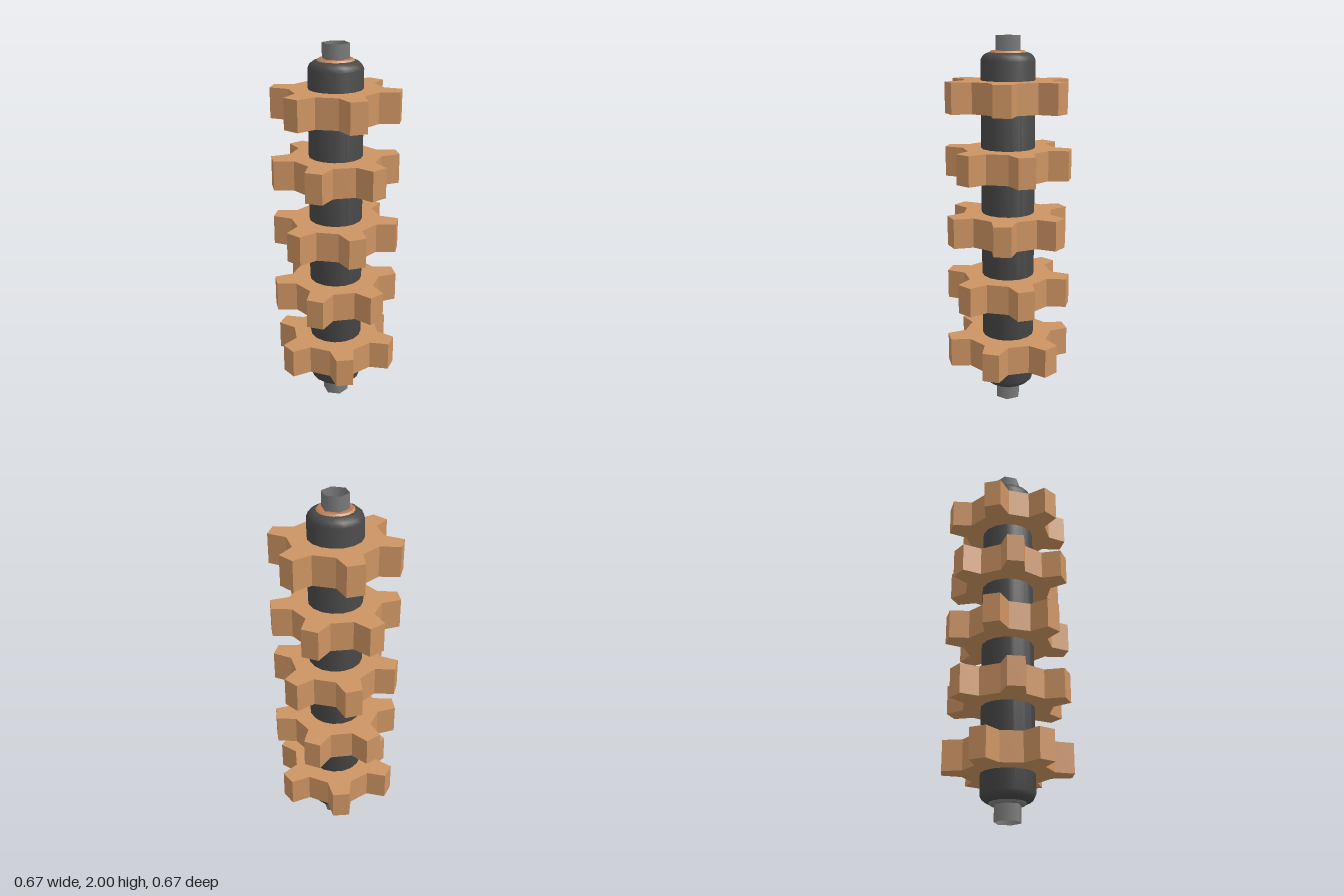
import * as THREE from 'three';
import { toCreasedNormals } from 'three/addons/utils/BufferGeometryUtils.js';

const material = (name, color, side = THREE.FrontSide) => {
  const m = new THREE.MeshStandardMaterial({ color, side });
  m.name = name;
  return m;
};

// Six-toothed wheel, centred on the origin, with a tooth at the given angle from +x towards +z
function wheelGeometry(degrees, thickness) {
  const points = [];
  const tooth = [[0.228, -0.065], [0.33, -0.045], [0.33, 0.045], [0.228, 0.065]];
  for (let i = 0; i < 6; i++) {
    const angle = THREE.MathUtils.degToRad(degrees + i * 60);
    for (const [r, t] of tooth) {
      points.push(new THREE.Vector2(r, t).rotateAround(new THREE.Vector2(), angle));
    }
  }
  const geometry = new THREE.ExtrudeGeometry(new THREE.Shape(points), { depth: thickness, bevelEnabled: false });
  geometry.translate(0, 0, -thickness / 2);
  geometry.rotateX(Math.PI / 2);
  return geometry;
}

export function createModel() {
  const group = new THREE.Group();
  const wood = material('tan wood', 0xcd9463);
  const dark = material('dark rubber', 0x484848);
  const steel = material('grey steel', 0x7c7c7c, THREE.DoubleSide);
  const copper = material('copper', 0xb97a5a);

  const add = (name, geometry, mat, y = 0) => {
    const mesh = new THREE.Mesh(geometry, mat);
    mesh.name = name;
    mesh.position.y = y;
    group.add(mesh);
    return mesh;
  };

  // Long roller with rounded shoulders
  const profile = [
    [0, 0.095], [0.1, 0.095], [0.115, 0.1], [0.132, 0.114], [0.141, 0.135],
    [0.141, 1.875], [0.132, 1.896], [0.115, 1.91], [0.1, 1.915], [0, 1.915],
  ].map(([r, y]) => new THREE.Vector2(r, y));
  add('roller', toCreasedNormals(new THREE.LatheGeometry(profile, 16), 0.7), dark);

  // Star wheels, from bottom to top
  [[0.314, -19], [0.66, 8.5], [1.005, 30], [1.35, 8.5], [1.698, 30]].forEach(([y, angle], i) => {
    add(`starWheel${i + 1}`, wheelGeometry(angle, 0.157), wood, y);
  });

  // End collars
  add('topCollar', new THREE.CylinderGeometry(0.088, 0.096, 0.01, 16, 1, true), wood, 1.919);
  const plate = new THREE.CircleGeometry(0.088, 16);
  plate.rotateX(-Math.PI / 2);
  add('topPlate', plate, copper, 1.924);
  add('bottomCollar', new THREE.CylinderGeometry(0.096, 0.088, 0.011, 16), steel, 0.09);

  // Hollow six-sided axle ends
  add('topAxle', new THREE.CylinderGeometry(0.07, 0.07, 0.08, 6, 1, true), steel, 1.96);
  add('bottomAxle', new THREE.CylinderGeometry(0.07, 0.07, 0.088, 6, 1, true), steel, 0.044);

  return group;
}
